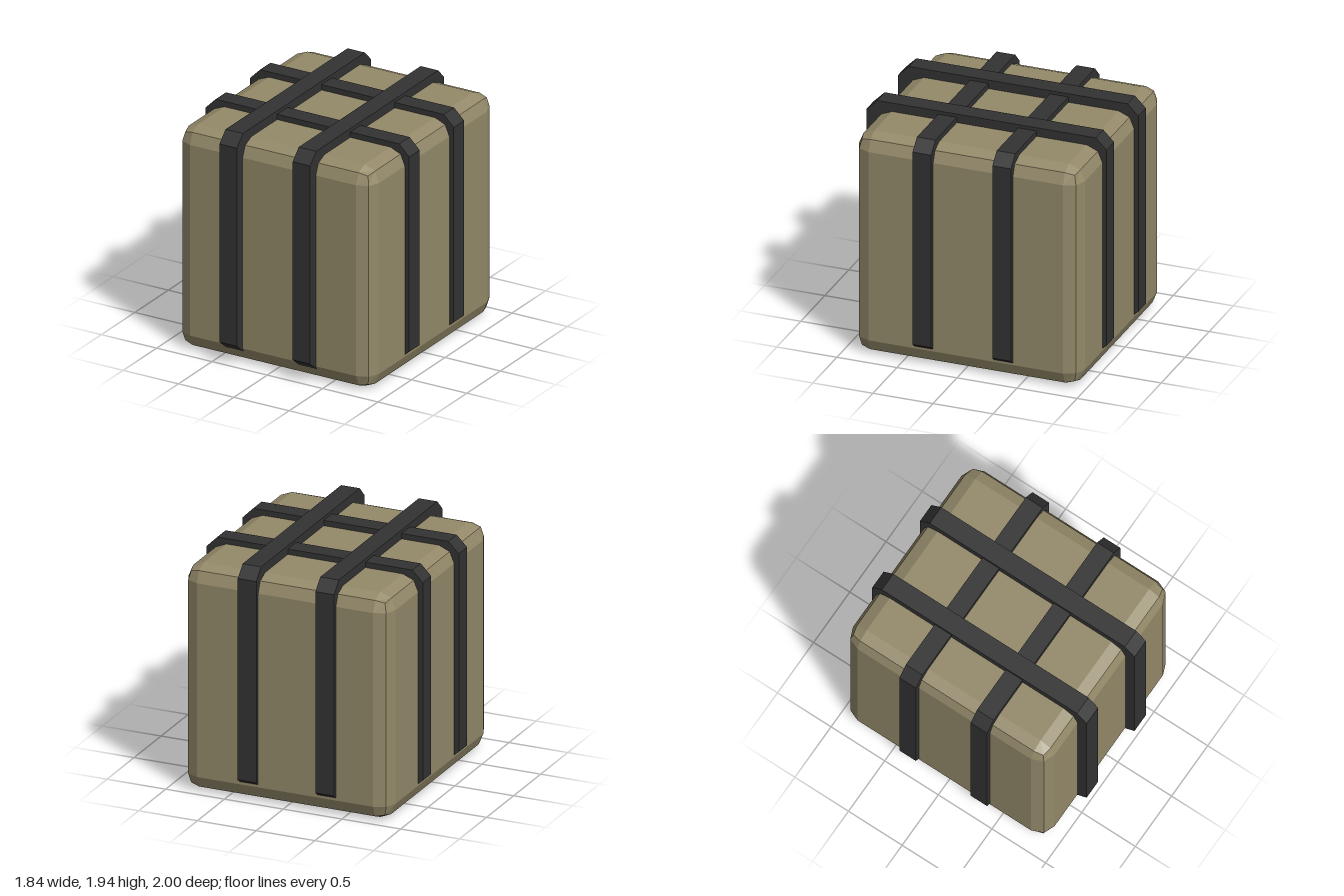
import * as THREE from 'three';
import { RoundedBoxGeometry } from 'three/addons/geometries/RoundedBoxGeometry.js';

const canvas = new THREE.MeshStandardMaterial({ color: 0x948a6a, flatShading: true });
const webbing = new THREE.MeshStandardMaterial({ color: 0x333333, flatShading: true });

// Chamfered arch strap in the XY plane, its width centred on z = 0
function strapGeometry(half, top, width) {
  const inner = half - 0.12, under = top - 0.11, c = 0.09;
  const right = [
    [inner, 0.1], [half - 0.1, 0.1], [half, 0.18], [half, top - c], [half - c, top],
  ];
  const rightInner = [[inner - 0.06, under], [inner, under - 0.06]];
  const mirror = (list) => list.map(([x, y]) => [-x, y]).reverse();
  const outline = [...right, ...mirror(right), ...mirror(rightInner), ...rightInner];
  const shape = new THREE.Shape(outline.map(([x, y]) => new THREE.Vector2(x, y)));
  const geometry = new THREE.ExtrudeGeometry(shape, { depth: width, bevelEnabled: false });
  return geometry.translate(0, 0, -width / 2);
}

export function createModel() {
  const group = new THREE.Group();

  // Soft-edged cube of cargo
  const bundle = new THREE.Mesh(new RoundedBoxGeometry(1.76, 1.87, 1.88, 1, 0.13), canvas);
  bundle.name = 'bundle';
  bundle.position.set(0, 0.935, -0.025);
  group.add(bundle);

  // Straps running over the top from side to side
  const sideGeometry = strapGeometry(0.92, 1.915, 0.155);
  for (const z of [0.324, -0.34]) {
    const strap = new THREE.Mesh(sideGeometry, webbing);
    strap.name = 'sideToSideStrap';
    strap.position.z = z;
    group.add(strap);
  }

  // Slightly higher straps running over the top from front to back
  const frontGeometry = strapGeometry(1, 1.943, 0.158).rotateY(Math.PI / 2);
  for (const x of [-0.353, 0.308]) {
    const strap = new THREE.Mesh(frontGeometry, webbing);
    strap.name = 'frontToBackStrap';
    strap.position.x = x;
    group.add(strap);
  }

  return group;
}
